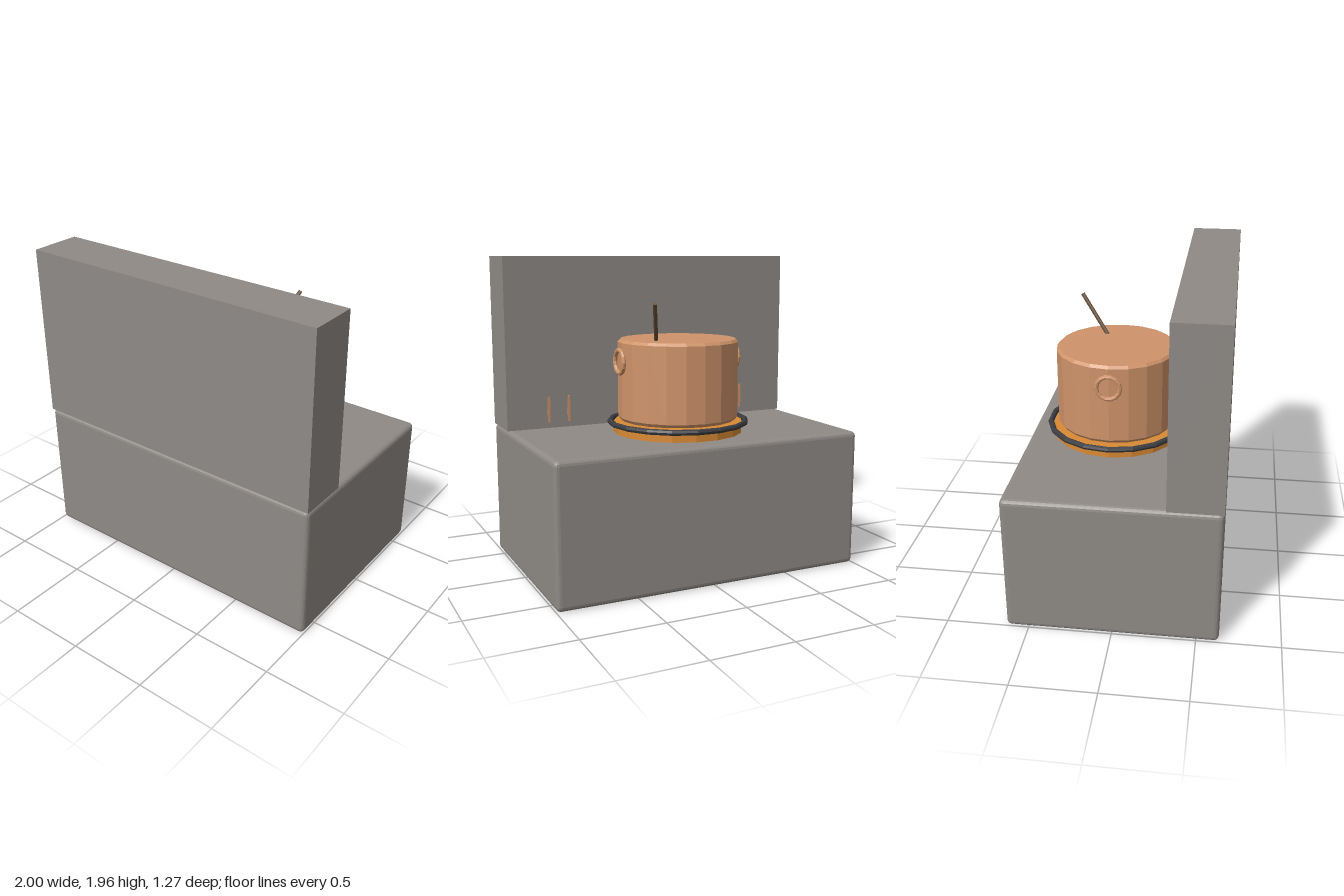
import * as THREE from 'three';
import { RoundedBoxGeometry } from 'three/addons/geometries/RoundedBoxGeometry.js';

const mat = (color) => new THREE.MeshStandardMaterial({ color, flatShading: true });

export function createModel() {
  const model = new THREE.Group();
  const stone = mat(0x8f8a86);
  const copper = mat(0xd0946a);
  const ember = mat(0xd98a35);
  const iron = mat(0x3c3d42);
  const wood = mat(0x66503a);
  const potZ = -0.095;

  const add = (name, geometry, material, x, y, z) => {
    const mesh = new THREE.Mesh(geometry, material);
    mesh.name = name;
    mesh.position.set(x, y, z);
    model.add(mesh);
    return mesh;
  };

  // Stone block with softened edges, and the plain wall standing on it
  add('hearthBase', new RoundedBoxGeometry(2, 0.865, 1.27, 2, 0.03), stone, 0, 0.4325, 0);
  add('hearthWall', new THREE.BoxGeometry(2, 1.095, 0.322), stone, 0, 1.4125, 0.474);

  // Glowing bed with an iron ring around its rim
  add('emberBed', new THREE.CylinderGeometry(0.41, 0.41, 0.07, 18), ember, 0, 0.895, potZ)
    .rotation.y = Math.PI / 2;
  add('ironRing', new THREE.TorusGeometry(0.432, 0.018, 8, 18), iron, 0, 0.93, potZ)
    .rotation.x = Math.PI / 2;

  // Closed pot with small bevels at both rims
  const profile = [[0, 0.945], [0.365, 0.945], [0.38, 0.965], [0.38, 1.435], [0.365, 1.452], [0, 1.452]]
    .map(([r, y]) => new THREE.Vector2(r, y));
  add('pot', new THREE.LatheGeometry(profile, 20), copper, 0, 0, potZ);

  // Ring handles on both sides
  for (const side of [-1, 1]) {
    add('potHandle', new THREE.TorusGeometry(0.072, 0.014, 8, 14), copper, side * 0.397, 1.322, potZ)
      .rotation.y = Math.PI / 2;
  }

  // Spoon handle leaning out of the pot
  const from = new THREE.Vector3(0.165, 1.38, -0.135);
  const to = new THREE.Vector3(0.275, 1.685, -0.355);
  const along = to.clone().sub(from);
  const mid = from.clone().add(to).multiplyScalar(0.5);
  add('spoonHandle', new THREE.CylinderGeometry(0.013, 0.013, along.length(), 8), wood, mid.x, mid.y, mid.z)
    .quaternion.setFromUnitVectors(new THREE.Vector3(0, 1, 0), along.normalize());

  // Slim copper strips just proud of the wall
  for (const x of [-0.68, -0.55, 0.59, 0.725]) {
    add('wallStrip', new THREE.BoxGeometry(0.018, 0.17, 0.02), copper, x, 0.985, 0.32);
  }
  return model;
}
